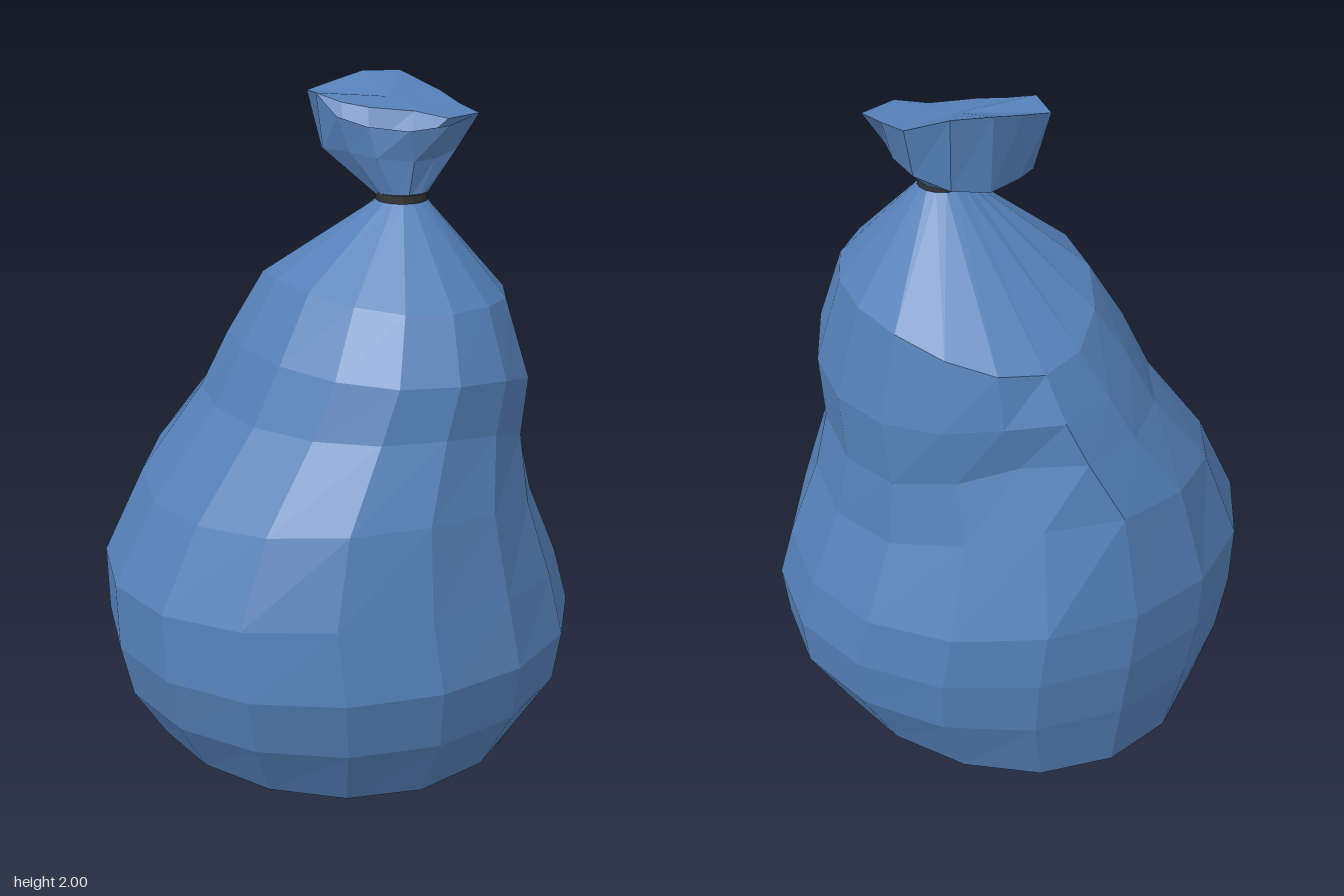
import * as THREE from 'three';

const bagMaterial = new THREE.MeshStandardMaterial({ color: 0x5580b8, flatShading: true, side: THREE.DoubleSide });
const tieMaterial = new THREE.MeshStandardMaterial({ color: 0x333333, flatShading: true });
const NECK = { x: 0.165, z: 0.07 };

// Joins rings of points (running from +x to +z) from bottom to top, with optional end caps
function loft(rings, bottomCentre, topCentre) {
  const pos = [];
  const tri = (a, b, c) => {
    const area = new THREE.Triangle(new THREE.Vector3(...a), new THREE.Vector3(...b), new THREE.Vector3(...c)).getArea();
    if (area > 1e-7) pos.push(...a, ...b, ...c);
  };
  const n = rings[0].length;
  for (let i = 0; i < n; i++) {
    const j = (i + 1) % n;
    for (let r = 0; r < rings.length - 1; r++) {
      const lo = rings[r], hi = rings[r + 1];
      tri(lo[i], hi[i], lo[j]);
      tri(hi[i], hi[j], lo[j]);
    }
    const top = rings[rings.length - 1];
    if (bottomCentre) tri(bottomCentre, rings[0][i], rings[0][j]);
    if (topCentre) tri(topCentre, top[j], top[i]);
  }
  const geometry = new THREE.BufferGeometry();
  geometry.setAttribute('position', new THREE.Float32BufferAttribute(pos, 3));
  geometry.computeVertexNormals();
  return geometry;
}

// Lopsided ring: reach and height on each of its four sides, with an optional dent at the back left
function sackRing([xMin, yA, xMax, yB, zMax, yC, zMin, yD, dent = 0]) {
  const cx = (xMin + xMax) / 2, cz = (zMin + zMax) / 2;
  return Array.from({ length: 16 }, (_, i) => {
    const t = (i / 16) * Math.PI * 2, c = Math.cos(t), s = Math.sin(t);
    const k = i === 13 ? 1 - dent : i === 14 ? 1 - dent * 0.5 : 1;
    const y = c * c * (c < 0 ? yA : yB) + s * s * (s > 0 ? yC : yD);
    return [cx + c * k * (xMax - xMin) / 2, y, cz + s * k * (zMax - zMin) / 2];
  });
}

export function createModel() {
  const model = new THREE.Group();
  const add = (name, geometry, material) => {
    const mesh = new THREE.Mesh(geometry, material);
    mesh.name = name;
    model.add(mesh);
    return mesh;
  };

  // Sagging sack: [xMin, y, xMax, y, zMax, y, zMin, y, dent]
  const sack = [
    [-0.58, 0.02, 0.60, 0.06, 0.56, 0.00, -0.65, 0.00],
    [-0.69, 0.20, 0.71, 0.23, 0.67, 0.21, -0.69, 0.22],
    [-0.73, 0.37, 0.725, 0.37, 0.71, 0.40, -0.71, 0.40],
    [-0.73, 0.57, 0.69, 0.52, 0.67, 0.62, -0.71, 0.57],
    [-0.60, 0.82, 0.59, 0.74, 0.62, 0.88, -0.65, 0.88, 0.07],
    [-0.40, 1.09, 0.55, 0.92, 0.55, 1.10, -0.58, 1.05, 0.13],
    [-0.32, 1.27, 0.56, 1.12, 0.54, 1.25, -0.53, 1.17, 0.06],
    [-0.20, 1.46, 0.49, 1.40, 0.44, 1.43, -0.46, 1.30],
    [0.09, 1.68, 0.24, 1.68, 0.145, 1.68, -0.005, 1.68],
  ].map(sackRing);
  add('sack', loft(sack, [0, 0.01, -0.04]), bagMaterial);

  // Dark band around the neck
  const tie = add('tie', new THREE.CylinderGeometry(0.076, 0.076, 0.037, 16), tieMaterial);
  tie.position.set(NECK.x, 1.685, NECK.z);

  // Gathered top: flares from the neck and leans backwards
  const neck = Array.from({ length: 12 }, (_, i) => {
    const t = THREE.MathUtils.degToRad(40 + 30 * i);
    return [NECK.x + 0.07 * Math.cos(t), 1.69, NECK.z + 0.07 * Math.sin(t)];
  });
  const flare = [
    [0.33, 1.82, 0.10], [0.25, 1.80, 0.12], [0.17, 1.80, 0.14], [0.07, 1.81, 0.10],
    [0.02, 1.82, 0.02], [-0.01, 1.81, -0.10], [0.03, 1.79, -0.20], [0.10, 1.79, -0.24],
    [0.20, 1.78, -0.26], [0.30, 1.79, -0.22], [0.36, 1.81, -0.12], [0.36, 1.82, 0.00],
  ];
  const rim = [
    [0.395, 1.92, 0.11], [0.27, 1.90, 0.16], [0.15, 1.89, 0.145], [0.05, 1.90, 0.08],
    [-0.01, 1.92, 0.00], [-0.02, 1.97, -0.13], [0.00, 1.96, -0.24], [0.10, 1.98, -0.26],
    [0.20, 2.00, -0.275], [0.31, 2.00, -0.24], [0.39, 1.95, -0.13], [0.39, 1.93, 0.00],
  ];
  // Pocket at the front, then the edge of the sheet folded over it
  const replace = (points) => rim.map((p, i) => points[i - 1] || p);
  const pocket = replace([[0.26, 1.84, 0.12], [0.17, 1.82, 0.10], [0.07, 1.83, 0.04], [0.02, 1.86, -0.02]]);
  const fold = replace([[0.27, 1.92, 0.155], [0.21, 1.93, 0.06], [0.09, 1.94, 0.00], [0.03, 1.95, -0.06]]);
  add('gatheredTop', loft([neck, flare, rim, pocket, fold], null, [0.2, 1.95, -0.09]), bagMaterial);

  return model;
}
